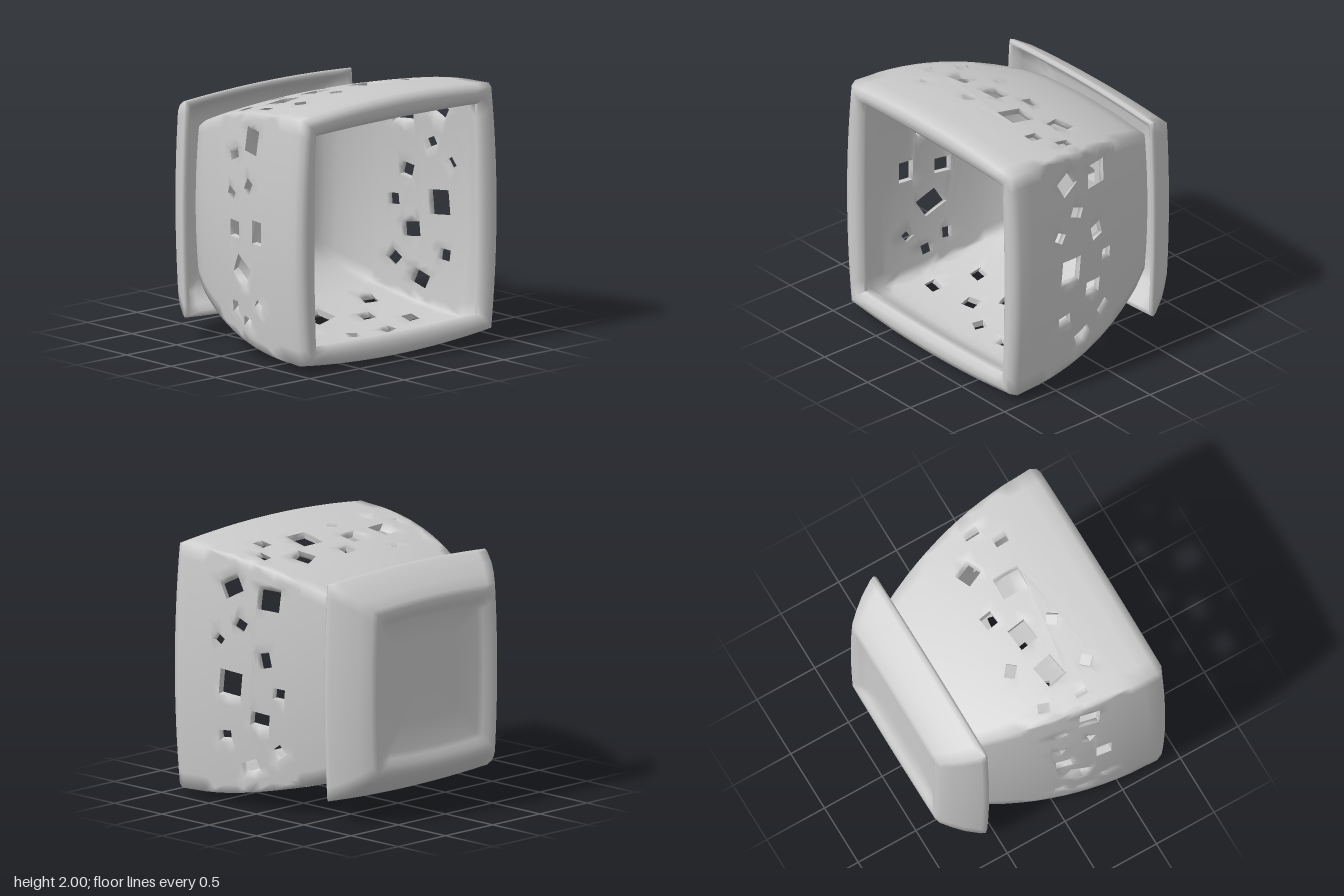
import * as THREE from 'three';
import { mergeGeometries, toCreasedNormals } from 'three/addons/utils/BufferGeometryUtils.js';

const SEG = 16;            // divisions across one side of the square section
const BACK = -0.25, FRONT = 0.6; // the pierced band of the wall
const THICK = 0.05;
const outer = z => 1 - 0.132 * Math.pow(0.9 - z, 2.2);
const inner = z => outer(z) - THICK;
const BOW = 0.055;         // how far the sides of the pot bulge

// Point on side k of a bowed square of half-width h at depth z; u runs -1..1
function place(k, u, h, z, bow = BOW) {
  const out = h * (1 - bow * u * u), side = h * (1 - bow) * u;
  const c = [1, 0, -1, 0][k], s = [0, 1, 0, -1][k];
  const shift = 0.06 * Math.max(0, 1 - h / 0.5); // drain hole sits off centre
  return [c * out - s * side + shift, 1 + s * out + c * side + shift, z];
}

function fromTriangles(pos) {
  const g = new THREE.BufferGeometry();
  g.setAttribute('position', new THREE.Float32BufferAttribute(pos, 3));
  return g;
}

// Square shell swept through profile points [half-width, z, bow]
function loft(profile) {
  const pos = [];
  for (let k = 0; k < 4; k++) for (let j = 0; j < profile.length - 1; j++) for (let i = 0; i < SEG; i++) {
    const p = (di, dj) => place(k, -1 + 2 * (i + di) / SEG, ...profile[j + dj]);
    const a = p(0, 0), b = p(1, 0), c = p(1, 1), d = p(0, 1);
    if (profile[j][0] > 0) pos.push(...a, ...b, ...c);
    if (profile[j + 1][0] > 0) pos.push(...a, ...c, ...d);
  }
  return fromTriangles(pos);
}

// Split the longest edge until every edge is short enough to bend
function split(t, emit) {
  let e = 0, best = 0;
  for (let i = 0; i < 3; i++) {
    const l = t[i].distanceTo(t[(i + 1) % 3]);
    if (l > best) { best = l; e = i; }
  }
  if (best < 0.13) return emit(t);
  const a = t[e], b = t[(e + 1) % 3], c = t[(e + 2) % 3];
  const m = a.clone().add(b).multiplyScalar(0.5);
  split([a, m, c], emit);
  split([m, b, c], emit);
}

// One pierced wall; holes are [across, z, width, length, turn]
function piercedWall(k, holes, sign) {
  const shape = new THREE.Shape([[-1, BACK], [1, BACK], [1, FRONT], [-1, FRONT]].map(p => new THREE.Vector2(...p)));
  for (const [a, z, w, l, turn = 0] of holes) {
    const c = Math.cos(turn), s = Math.sin(turn);
    shape.holes.push(new THREE.Path([[-1, -1], [1, -1], [1, 1], [-1, 1]].map(([i, j]) => {
      const x = i * w / 2, y = j * l / 2, pz = z + x * s + y * c;
      return new THREE.Vector2(sign * (a + x * c - y * s) / (outer(pz) * (1 - BOW)), pz);
    })));
  }
  let flat = new THREE.ExtrudeGeometry(shape, { depth: THICK, bevelEnabled: false, steps: 1 });
  if (flat.index) flat = flat.toNonIndexed();
  const src = flat.attributes.position, pos = [];
  const at = i => new THREE.Vector3().fromBufferAttribute(src, i);
  const near = (a, b) => Math.abs(a - b) < 1e-5;
  for (let i = 0; i < src.count; i += 3) {
    const t = [at(i), at(i + 1), at(i + 2)];
    // the outer border joins its neighbours, so it needs no end faces
    if ([-1, 1].some(v => t.every(p => near(p.x, v))) || [BACK, FRONT].some(v => t.every(p => near(p.y, v)))) continue;
    split(t, tri => tri.forEach(p => pos.push(...place(k, p.x, inner(p.y) + p.z, p.y))));
  }
  return fromTriangles(pos);
}

const leftHoles = [ // +x wall
  [0.69, 0.33, 0.15, 0.17, 0.5], [0.63, 0, 0.18, 0.19, -0.05], [0.41, 0.24, 0.08, 0.12, -0.44],
  [0.27, 0.43, 0.08, 0.09, -0.6], [0.16, 0.02, 0.12, 0.11, 0.24], [-0.06, 0.315, 0.2, 0.2, -0.1],
  [-0.09, -0.1, 0.09, 0.1, -0.1], [-0.31, 0.06, 0.12, 0.16, -0.12], [-0.47, 0.375, 0.09, 0.12, 0.08],
  [-0.55, -0.08, 0.09, 0.12, 0.66], [-0.69, 0.16, 0.11, 0.16, 0.35]];
const topHoles = [
  [-0.73, -0.02, 0.08, 0.1, 0.4], [-0.35, -0.09, 0.1, 0.09, 0.7], [-0.51, 0.155, 0.2, 0.16, -0.17],
  [-0.16, 0.125, 0.18, 0.15, -0.1], [0.075, -0.03, 0.11, 0.1, -0.1], [0.48, 0.025, 0.15, 0.15, -0.38],
  [0.24, 0.25, 0.19, 0.21, 0.04], [0.735, 0.2, 0.07, 0.12], [0.575, 0.36, 0.09, 0.11],
  [-0.175, 0.37, 0.09, 0.09, 0.6], [-0.59, 0.43, 0.09, 0.1, 0.75], [-0.785, 0.27, 0.05, 0.1]];
const rightHoles = [ // -x wall
  [0.685, 0.26, 0.19, 0.16, 0.1], [0.545, 0.02, 0.08, 0.12, -0.4], [0.335, 0.24, 0.1, 0.08, 0.5],
  [0.24, 0, 0.07, 0.1, 0.4], [0, 0.36, 0.18, 0.12], [-0.025, 0.05, 0.13, 0.13],
  [-0.33, 0.15, 0.17, 0.2, 0.5], [-0.57, 0.36, 0.08, 0.08, 0.6], [-0.63, 0.03, 0.09, 0.08],
  [-0.725, 0.2, 0.08, 0.1, 0.2]];
const bottomHoles = [
  [0.57, -0.07, 0.12, 0.12, 0.2], [0.63, 0.34, 0.1, 0.11, 0.1], [0.31, 0.42, 0.12, 0.09, -0.2],
  [0.35, 0.14, 0.12, 0.11, 0.1], [-0.03, 0.01, 0.25, 0.16, -0.3], [-0.025, 0.39, 0.1, 0.09, 0.4],
  [-0.3, 0.25, 0.12, 0.1, -0.2], [-0.52, 0, 0.11, 0.1, 0.1], [-0.68, 0.31, 0.12, 0.1, 0.1]];

export function createModel() {
  const group = new THREE.Group();
  const material = new THREE.MeshStandardMaterial({ color: 0xcccccc });
  const add = (name, parts) => {
    const mesh = new THREE.Mesh(toCreasedNormals(mergeGeometries(parts), 1.42), material);
    mesh.name = name;
    group.add(mesh);
  };

  // Rounded lip overhanging the inside of the opening
  const lip = loft([[outer(FRONT), FRONT], [0.995, 0.72], [1, 0.83], [0.98, 0.88],
    [0.93, 0.9, 0.045], [0.87, 0.89, 0.03], [0.825, 0.855, 0.02], [0.825, 0.83, 0.02],
    [0.87, 0.75, 0.035], [0.915, 0.68, 0.045], [inner(FRONT), FRONT]]);
  // Closed end: inner floor, drain hole, underside and lower wall
  const floor = loft([[inner(BACK), BACK], [inner(-0.4) - 0.01, -0.4], [0.63, -0.51], [0.56, -0.58],
    [0.48, -0.61], [0.3, -0.62], [0.06, -0.62], [0.06, -0.76], [0.3, -0.76],
    [0.56, -0.76], [0.61, -0.72], [outer(-0.57), -0.57], [outer(-0.48), -0.48],
    [outer(-0.36), -0.36], [outer(BACK), BACK]]);
  add('pot', [lip, floor,
    piercedWall(0, leftHoles, 1), piercedWall(1, topHoles, -1),
    piercedWall(2, rightHoles, -1), piercedWall(3, bottomHoles, 1)]);

  // Shallow dish with a recessed underside and a thin rim
  add('saucer', [loft([[0, -0.84], [0.3, -0.84], [0.5, -0.845], [0.54, -0.865], [0.58, -0.89], [0.63, -0.9],
    [0.67, -0.88], [0.73, -0.81], [0.79, -0.73], [0.85, -0.625], [0.863, -0.59], [0.85, -0.57],
    [0.82, -0.58], [0.78, -0.65], [0.71, -0.75], [0.62, -0.78], [0.3, -0.78], [0, -0.78]].map(p => [...p, 0.035]))]);
  return group;
}
